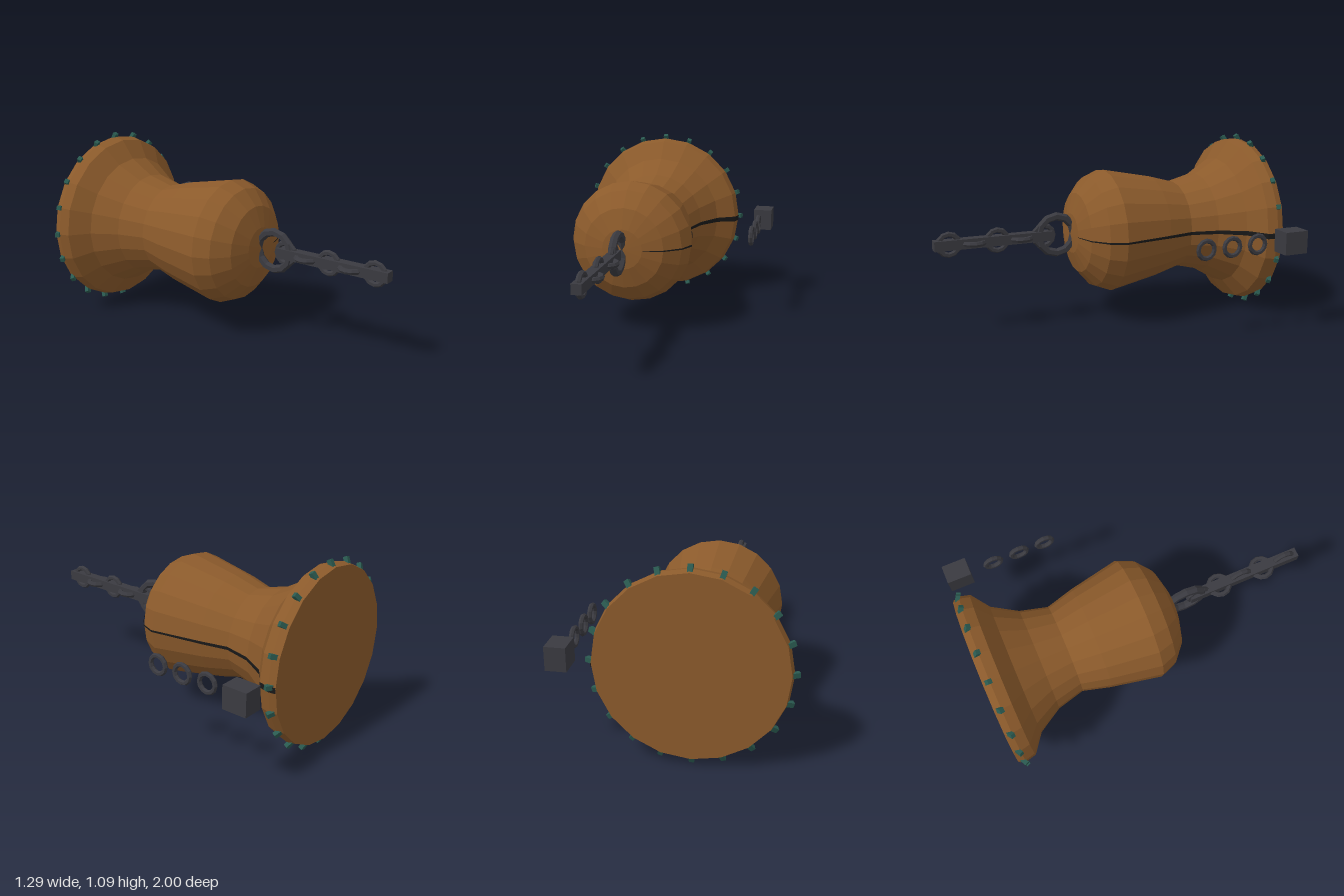
import * as THREE from 'three';

export function createModel() {
  const model = new THREE.Group();
  model.name = 'chainedBell';
  const material = (name, color, side = THREE.FrontSide) =>
    new THREE.MeshStandardMaterial({ name, color, side, flatShading: true });
  const bronze = material('bronze', 0x8b5a2b);
  const iron = material('iron', 0x3a3a40);
  const verdigris = material('verdigris', 0x2a5a50);
  const dark = material('crackBlack', 0x1a1a1a, THREE.DoubleSide);

  const CX = -0.107, CY = 0.543, SIDES = 20;
  const add = (parent, name, geometry, mat, x = 0, y = 0, z = 0) => {
    const mesh = new THREE.Mesh(geometry, mat);
    mesh.name = name;
    mesh.position.set(x, y, z);
    parent.add(mesh);
    return mesh;
  };

  // Bell lying on its side: [radius, z] from the mouth to the crown
  const profile = [
    [0.505, -1], [0.515, -0.96], [0.5, -0.9], [0.393, -0.82], [0.307, -0.675],
    [0.266, -0.512], [0.31, -0.35], [0.37, -0.045], [0.332, 0.05],
    [0.24, 0.13], [0.12, 0.167],
  ];
  const bell = new THREE.Group();
  bell.name = 'bell';
  bell.position.set(CX, CY, 0);
  model.add(bell);
  const outline = [[0, -1], ...profile, [0, 0.174]].map(([r, z]) => new THREE.Vector2(r, z));
  add(bell, 'bellBody', new THREE.LatheGeometry(outline, SIDES), bronze).rotation.x = Math.PI / 2;

  // Jagged crack down one side, widening towards the mouth
  const top = [0.004, 0.004, 0.004, 0.006, 0.004, 0.002, 0.004, 0.003, 0.002, 0.001, 0];
  const low = [-0.032, -0.03, -0.03, -0.022, -0.018, -0.018, -0.013, -0.009, -0.008, -0.006, -0.003];
  const positions = [], index = [];
  profile.forEach(([r, z], i) => {
    const push = i > 6 ? 0.004 : 0;
    for (const y of [top[i], 0, low[i]]) {
      positions.push(r + 0.004 - Math.abs(y) * 0.16, y, z + push);
    }
    if (i > 0) {
      const a = (i - 1) * 3, b = i * 3;
      for (const k of [0, 1]) index.push(a + k, b + k, a + k + 1, b + k, b + k + 1, a + k + 1);
    }
  });
  const crack = new THREE.BufferGeometry();
  crack.setAttribute('position', new THREE.Float32BufferAttribute(positions, 3));
  crack.setIndex(index);
  crack.computeVertexNormals();
  add(bell, 'crack', crack, dark);

  // Studs around the rim, leaning forward
  const studGeometry = new THREE.BoxGeometry(0.045, 0.027, 0.025);
  for (let i = 0; i < SIDES; i++) {
    const spoke = new THREE.Group();
    spoke.name = 'rimStud' + i;
    spoke.rotation.z = (i / SIDES) * Math.PI * 2;
    bell.add(spoke);
    add(spoke, 'stud', studGeometry, verdigris, 0.517, 0, -0.968).rotation.y = -0.48;
  }

  // Rings stand in the YZ plane, or lie flat in the XZ plane
  const addRing = (name, radius, tube, x, z, flat = false) => {
    const ring = add(model, name, new THREE.TorusGeometry(radius, tube, 6, 12), iron, x, CY, z);
    if (flat) ring.rotation.x = Math.PI / 2;
    else ring.rotation.y = Math.PI / 2;
  };

  // Crown loop and chain around a square core
  addRing('crownLoop', 0.111, 0.025, CX, 0.262);
  [0.342, 0.484, 0.626, 0.767, 0.912].forEach((z, i) =>
    addRing('chainLink' + i, 0.061, 0.016, CX, z, i % 2 === 1));
  add(model, 'chainCore', new THREE.BoxGeometry(0.058, 0.058, 0.71), iron, CX, CY, 0.645);

  // Loose links and anchor block beside the bell
  [-0.374, -0.54, -0.706].forEach((z, i) => addRing('looseLink' + i, 0.051, 0.014, 0.575, z));
  add(model, 'anchorBlock', new THREE.BoxGeometry(0.115, 0.133, 0.146), iron, 0.585, CY, -0.927);

  return model;
}
